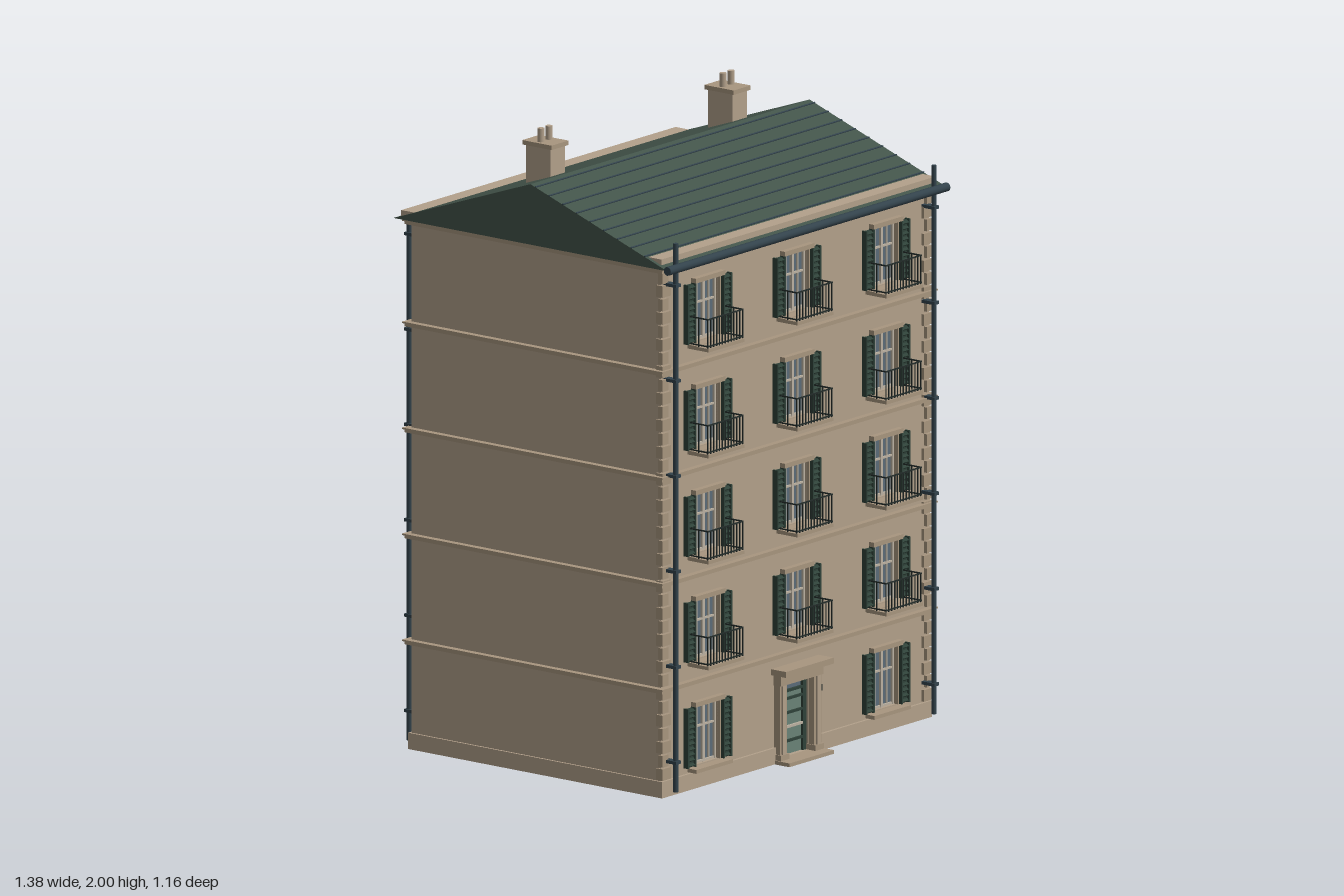
import * as THREE from 'three';

const mat = (name, color, side = THREE.FrontSide) => {
  const m = new THREE.MeshStandardMaterial({ color, side });
  m.name = name;
  return m;
};
const M = {
  stone: mat('warm stone', 0xb3a18b),
  trim: mat('stone trim', 0xa8967f),
  roof: mat('roof green', 0x43544a),
  shutter: mat('shutter green', 0x2f4239),
  slate: mat('slate pipe', 0x33434c),
  iron: mat('dark iron', 0x232c2a),
  glass: mat('window glass', 0x5b6c79),
  frame: mat('window frame', 0xbcb2a2),
  door: mat('door green', 0x6a8377),
};

const STOREY = 0.338, WALL_Z = 0.495, HALF_X = 0.66;

function add(parent, name, geo, material, x = 0, y = 0, z = 0) {
  const mesh = new THREE.Mesh(geo, material);
  mesh.name = name;
  mesh.position.set(x, y, z);
  parent.add(mesh);
  return mesh;
}
// Box given by its lower and upper corners
function box(parent, name, material, x0, x1, y0, y1, z0, z1) {
  return add(parent, name, new THREE.BoxGeometry(x1 - x0, y1 - y0, z1 - z0), material,
    (x0 + x1) / 2, (y0 + y1) / 2, (z0 + z1) / 2);
}
function pipe(parent, name, material, r, x, y0, y1, z, sides = 10) {
  return add(parent, name, new THREE.CylinderGeometry(r, r, y1 - y0, sides), material, x, (y0 + y1) / 2, z);
}
function group(parent, name) {
  const g = new THREE.Group();
  g.name = name;
  parent.add(g);
  return g;
}

// Wall panel with rectangular openings [x, halfWidth, y0, y1]; its outside is local +z
function facadeWall(parent, openings) {
  const rect = (p, x0, x1, y0, y1) =>
    p.moveTo(x0, y0).lineTo(x1, y0).lineTo(x1, y1).lineTo(x0, y1).closePath();
  const shape = rect(new THREE.Shape(), -HALF_X, HALF_X, 0, 1.69);
  for (const [x, w, y0, y1] of openings) shape.holes.push(rect(new THREE.Path(), x - w, x + w, y0, y1));
  add(parent, 'facadeWall', new THREE.ExtrudeGeometry(shape, { depth: 0.025, bevelEnabled: false }),
    M.stone, 0, 0, WALL_Z - 0.025);
}

// Window in local space: z = 0 is the wall face, y measured from the storey base
function makeWindow(y0, y1, sillHalf, sillDepth) {
  const g = new THREE.Group();
  g.name = 'window';
  const w = 0.06, h = y1 - y0;
  box(g, 'glass', M.glass, -w, w, y0, y1, -0.022, -0.016);
  for (const s of [-1, 1]) {
    box(g, 'casementSide', M.frame, s * 0.056 - 0.004, s * 0.056 + 0.004, y0, y1, -0.018, -0.008);
    box(g, 'glazingBar', M.frame, s * 0.029 - 0.002, s * 0.029 + 0.002, y0, y1, -0.018, -0.011);
    box(g, 'jamb', M.trim, s * 0.063 - 0.003, s * 0.063 + 0.003, y0, y1, -0.01, 0.008);
    // Louvred shutter
    const sh = group(g, 'shutter');
    sh.position.x = s * 0.088;
    box(sh, 'shutterPanel', M.shutter, -0.02, 0.02, y0 + 0.003, y1 - 0.003, 0, 0.009);
    for (const e of [-1, 1])
      box(sh, 'shutterStile', M.shutter, e * 0.018 - 0.003, e * 0.018 + 0.003, y0, y1, 0, 0.018);
    for (let i = 0; i < 11; i++) {
      const slat = box(sh, 'louvre', M.shutter, -0.016, 0.016, -0.002, 0.002, -0.007, 0.007);
      slat.position.set(0, y0 + h * (i + 0.5) / 11, 0.011);
      slat.rotation.x = 0.6;
    }
  }
  box(g, 'centreMullion', M.frame, -0.005, 0.005, y0, y1, -0.018, -0.008);
  for (const y of [y0 + 0.004, y0 + h * 0.62, y1 - 0.004])
    box(g, 'casementRail', M.frame, -w, w, y - 0.003, y + 0.003, -0.018, -0.009);
  box(g, 'lintel', M.trim, -0.073, 0.073, y1, y1 + 0.015, 0, 0.02);
  box(g, 'sill', M.trim, -sillHalf, sillHalf, y0 - 0.016, y0 - 0.004, -0.02, sillDepth);
  return g;
}

// Railing round a shallow balcony slab
function makeBalcony() {
  const g = new THREE.Group();
  g.name = 'balcony';
  const w = 0.086, z1 = 0.08, y0 = 0.072, y1 = 0.158, r = 0.002;
  box(g, 'balconySlab', M.trim, -w - 0.003, w + 0.003, 0.055, 0.066, 0, z1 + 0.003);
  for (const y of [y0, y1]) {
    box(g, 'frontRail', M.iron, -w, w, y - r, y + r, z1 - 2 * r, z1);
    for (const s of [-1, 1]) box(g, 'sideRail', M.iron, s * w - r, s * w + r, y - r, y + r, 0, z1);
  }
  for (let i = 0; i <= 12; i++) {
    const x = -w + 2 * w * i / 12;
    box(g, 'baluster', M.iron, x - 0.0015, x + 0.0015, 0.066, y1, z1 - 0.004, z1 - 0.001);
  }
  for (const s of [-1, 1])
    box(g, 'sideBaluster', M.iron, s * w - 0.0015, s * w + 0.0015, 0.066, y1, 0.04, 0.043);
  return g;
}

function makeFacade(root, front) {
  const f = group(root, front ? 'frontFacade' : 'backFacade');
  if (!front) f.rotation.y = Math.PI;
  const col = front ? 0.44 : 0.416;
  const [y0, y1] = front ? [0.072, 0.262] : [0.1, 0.262];
  const win = front ? makeWindow(y0, y1, 0.09, 0.035) : makeWindow(y0, y1, 0.097, 0.062);
  const balcony = makeBalcony();
  const openings = [[0, 0.066, 0.012, 0.25]];
  for (let k = 0; k < 5; k++) for (const x of [-col, 0, col]) {
    if (k === 0 && x === 0) continue;
    const b = k * STOREY;
    openings.push([x, 0.06, b + y0, b + y1]);
    const parts = front && k > 0 ? [win, balcony] : [win];
    for (const p of parts) {
      const c = p.clone();
      c.position.set(x, b, WALL_Z);
      f.add(c);
    }
  }
  facadeWall(f, openings);
  // Plinth either side of the door
  for (const s of [-1, 1]) {
    box(f, 'plinth', M.stone, s > 0 ? 0.1 : -0.667, s > 0 ? 0.667 : -0.1, 0, 0.052, 0.47, 0.504);
    // Downpipe with brackets; the front ones rise above the eaves
    pipe(f, 'downpipe', M.slate, 0.008, s * 0.638, 0.02, front ? 1.77 : 1.69, front ? 0.535 : 0.522);
    for (let i = 0; i < 6; i++)
      box(f, 'pipeBracket', M.slate, s * 0.638 - 0.012, s * 0.638 + 0.012,
        0.11 + i * STOREY * 0.9, 0.12 + i * STOREY * 0.9, 0.49, front ? 0.546 : 0.533);
  }
  return f;
}

function makeDoors(front, back) {
  const d = group(front, 'frontDoor');
  box(d, 'doorLeaf', M.door, -0.066, 0.066, 0.01, 0.215, 0.47, 0.48);
  box(d, 'transomGlass', M.glass, -0.066, 0.066, 0.215, 0.25, 0.47, 0.478);
  for (const y of [0.055, 0.1, 0.145, 0.19, 0.215])
    box(d, 'doorRail', y === 0.1 ? M.frame : M.shutter, -0.05, 0.05, y - 0.004, y + 0.004, 0.478, 0.487);
  for (const s of [-1, 1]) {
    box(d, 'doorStile', M.shutter, s * 0.058 - 0.008, s * 0.058 + 0.008, 0.01, 0.25, 0.478, 0.488);
    box(d, 'pilaster', M.trim, s * 0.085 - 0.018, s * 0.085 + 0.018, 0, 0.26, 0.48, 0.518);
    box(d, 'pilasterFace', M.stone, s * 0.085 - 0.009, s * 0.085 + 0.009, 0.03, 0.25, 0.51, 0.524);
    box(d, 'pilasterBase', M.trim, s * 0.085 - 0.021, s * 0.085 + 0.021, 0, 0.03, 0.48, 0.525);
  }
  box(d, 'architrave', M.trim, -0.105, 0.105, 0.25, 0.285, 0.48, 0.525);
  box(d, 'doorCornice', M.trim, -0.118, 0.118, 0.285, 0.304, 0.48, 0.555);
  box(d, 'doorStep', M.trim, -0.11, 0.11, 0, 0.012, 0.46, 0.562);
  box(d, 'bellPlate', M.iron, 0.108, 0.118, 0.192, 0.212, 0.49, 0.51);

  const b = group(back, 'backDoor');
  box(b, 'doorLeaf', M.door, -0.066, 0.066, 0.01, 0.25, 0.47, 0.485);
  for (const s of [-1, 1])
    box(b, 'doorJamb', M.trim, s * 0.071 - 0.007, s * 0.071 + 0.007, 0, 0.25, 0.47, 0.508);
  box(b, 'doorLintel', M.trim, -0.08, 0.08, 0.25, 0.268, 0.48, 0.512);
  box(b, 'doorStep', M.trim, -0.075, 0.075, 0, 0.012, 0.46, 0.583);
}

function makeRoof(root) {
  const g = group(root, 'roof');
  const RIDGE = 1.885, EAVE = 1.692, RUN = 0.543;
  const s = new THREE.Shape();
  s.moveTo(-RUN, EAVE).lineTo(RUN, EAVE).lineTo(0, RIDGE).closePath();
  const body = add(g, 'roofBody', new THREE.ExtrudeGeometry(s, { depth: 1.38, bevelEnabled: false }), M.roof, -0.69);
  body.rotation.y = Math.PI / 2;
  // Tile course edges on the front slope
  const slope = (RIDGE - EAVE) / RUN;
  for (let i = 0; i < 9; i++) {
    const z = 0.02 + i * 0.054;
    const strip = add(g, 'tileCourse', new THREE.BoxGeometry(1.38, 0.005, 0.005), M.slate, 0, RIDGE - slope * z, z);
    strip.rotation.x = Math.atan(slope);
  }
  // Eaves boards that show just above the slopes
  box(g, 'frontEavesBoard', M.stone, -0.678, 0.678, 1.695, 1.722, 0.44, 0.51);
  box(g, 'backEavesBoard', M.stone, -0.678, 0.678, 1.695, 1.718, -0.522, -0.45);
  // Half-round gutter along the front
  const gutter = add(g, 'gutter', new THREE.CylinderGeometry(0.014, 0.014, 1.382, 12), M.slate, 0, 1.692, 0.544);
  gutter.rotation.z = Math.PI / 2;
  // Chimneys with a cap and two pots
  for (const x of [-0.45, 0.45]) {
    const c = group(g, 'chimney');
    c.position.x = x;
    box(c, 'chimneyStack', M.stone, -0.036, 0.036, 1.78, 1.945, -0.182, -0.084);
    box(c, 'chimneyCap', M.trim, -0.042, 0.042, 1.943, 1.957, -0.191, -0.075);
    for (const px of [-0.02, 0.02]) pipe(c, 'chimneyPot', M.stone, 0.011, px, 1.95, 2, -0.135, 14);
  }
}

export function createModel() {
  const root = new THREE.Group();
  root.name = 'townhouse';
  box(root, 'buildingCore', M.stone, -HALF_X, HALF_X, 0, 1.692, -0.47, 0.47);
  const front = makeFacade(root, true), back = makeFacade(root, false);
  makeDoors(front, back);
  // Side plinths
  for (const s of [-1, 1])
    box(root, 'sidePlinth', M.stone, s * 0.66 - 0.007, s * 0.66 + 0.007, 0, 0.052, -0.503, 0.503);
  // String courses between storeys and under the eaves
  for (let k = 1; k <= 5; k++) {
    const y = k < 5 ? 0.004 + k * STOREY : 1.682;
    box(root, 'stringCourse', M.trim, -0.676, 0.676, y - 0.007, y + 0.003, -0.511, 0.511);
    box(root, 'stringCourseTop', M.trim, -0.681, 0.681, y + 0.003, y + 0.008, -0.516, 0.516);
  }
  // Alternating quoins on the front corners
  for (const s of [-1, 1]) for (let i = 0; i < 38; i++) {
    const y = 0.056 + i * 0.0428, w = i % 2 ? 0.028 : 0.042;
    box(root, 'quoin', M.trim, s * (0.667 - w / 2) - w / 2, s * (0.667 - w / 2) + w / 2,
      y, y + 0.037, 0.505 - w * 0.6, 0.506);
  }
  makeRoof(root);
  return root;
}
